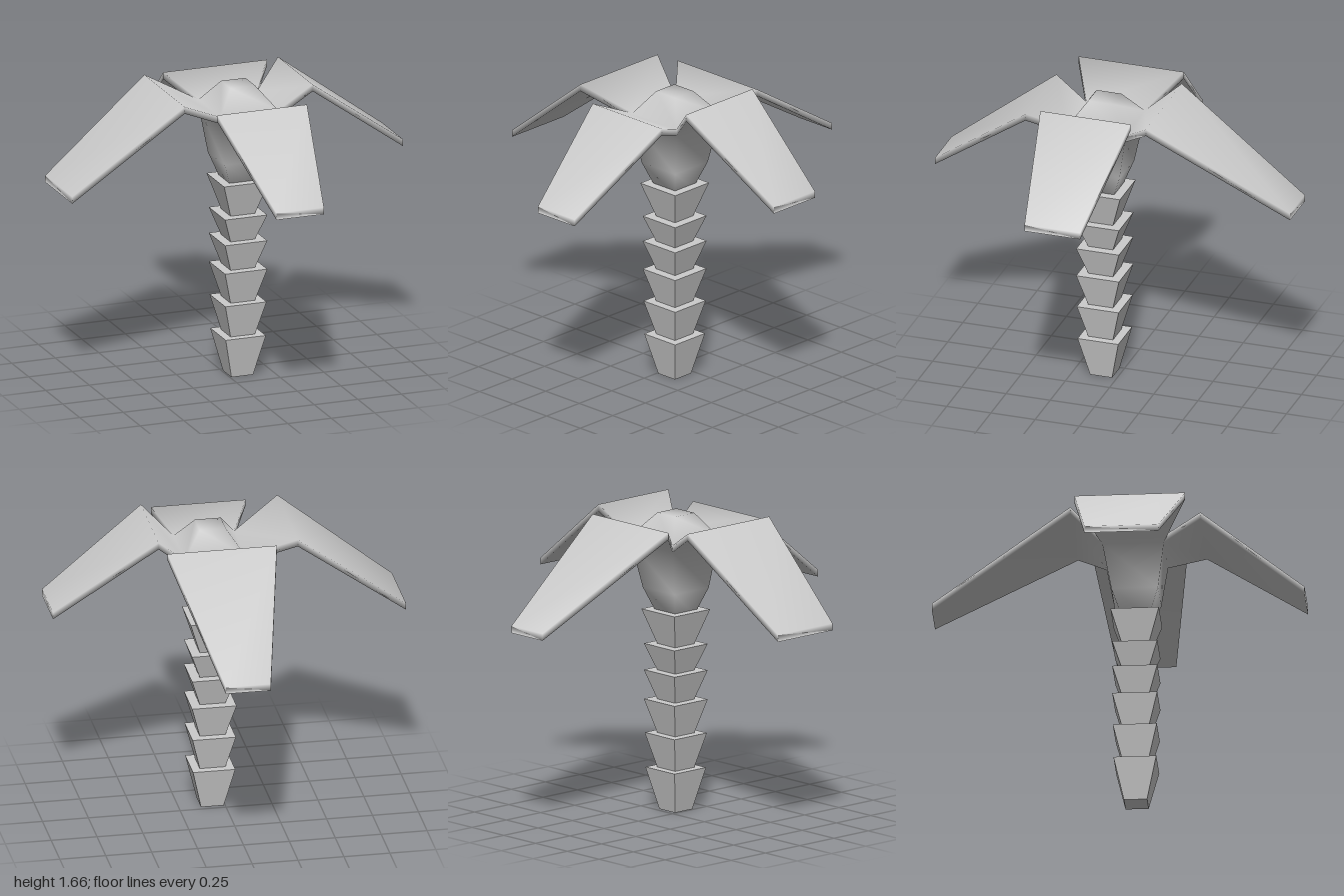
import * as THREE from 'three';

const material = () => new THREE.MeshStandardMaterial({ color: 0xcccccc });
const CX = 0.07, CZ = 0.088;

// Collects corners and quads (counter-clockwise from outside) into one welded, smooth surface.
function surface() {
  const pos = [], index = [];
  return {
    point: (x, y, z) => pos.push(x, y, z) / 3 - 1,
    quad: (a, b, c, d) => index.push(a, b, d, b, c, d),
    build() {
      const g = new THREE.BufferGeometry();
      g.setAttribute('position', new THREE.Float32BufferAttribute(pos, 3));
      g.setIndex(index);
      g.computeVertexNormals();
      return g;
    },
  };
}

function crownGeometry() {
  const s = surface();
  const T = 0.038; // frond thickness
  const pair = (x, y, z) => ({ top: s.point(x, y, z), low: s.point(x, y - T, z) });
  const signs = [[1, 1], [1, -1], [-1, -1], [-1, 1]];
  const ring = (h, y) => signs.map(([i, k]) => s.point(CX + i * h, y, CZ + k * h));

  // central cap, rim and flared neck
  const rim = signs.map(([i, k]) => pair(0.075 + i * 0.165, 1.505, 0.082 + k * 0.165));
  const cap = ring(0.07, 1.63);
  const flare = ring(0.125, 1.22);
  const neck = ring(0.07, 1.07);
  s.quad(...cap);
  s.quad(neck[3], neck[2], neck[1], neck[0]);

  // fronds: both corners of the bend, then both corners of the tip
  const fronds = [
    [[0.4, 1.66, 0.34], [0.4, 1.66, -0.17], [0.957, 1.255, 0.24], [0.957, 1.255, -0.075]], // left
    [[0.365, 1.625, -0.245], [-0.23, 1.625, -0.245], [0.19, 1.162, -1], [-0.055, 1.162, -1]], // back
    [[-0.35, 1.635, -0.215], [-0.35, 1.635, 0.38], [-0.957, 1.17, -0.118], [-0.957, 1.17, 0.28]], // right
    [[-0.19, 1.59, 0.45], [0.325, 1.59, 0.45], [-0.065, 1.192, 1], [0.208, 1.192, 1]], // front
  ];
  fronds.forEach((corners, k) => {
    const n = (k + 1) % 4;
    const [bendA, bendB, tipA, tipB] = corners.map((c) => pair(...c));
    const rows = [[rim[k], rim[n]], [bendA, bendB], [tipA, tipB]];
    for (let i = 0; i < 2; i++) {
      const [a, b] = rows[i], [c, d] = rows[i + 1];
      s.quad(a.top, c.top, d.top, b.top);
      s.quad(b.low, d.low, c.low, a.low);
      s.quad(a.low, c.low, c.top, a.top);
      s.quad(b.top, d.top, d.low, b.low);
    }
    s.quad(tipA.low, tipB.low, tipB.top, tipA.top);

    // cap slope above, flare and neck below
    s.quad(rim[k].top, rim[n].top, cap[n], cap[k]);
    s.quad(flare[k], flare[n], rim[n].low, rim[k].low);
    s.quad(neck[k], neck[n], flare[n], flare[k]);
  });
  return s.build();
}

export function createModel() {
  const model = new THREE.Group();
  model.name = 'palmTree';

  // trunk: stacked four-sided segments, each wider at the top
  const trunk = new THREE.Group();
  trunk.name = 'trunk';
  const trunkMaterial = material();
  trunkMaterial.flatShading = true;
  const levels = [0, 0.23, 0.42, 0.605, 0.765, 0.91, 1.1];
  const topHalf = [0.115, 0.118, 0.121, 0.121, 0.121, 0.13];
  topHalf.forEach((half, i) => {
    const h = levels[i + 1] - levels[i];
    const g = new THREE.CylinderGeometry(half * Math.SQRT2, (i ? 0.07 : 0.062) * Math.SQRT2, h, 4);
    g.rotateY(Math.PI / 4);
    const segment = new THREE.Mesh(g, trunkMaterial);
    segment.name = `trunkSegment${i + 1}`;
    segment.position.set(CX, levels[i] + h / 2, CZ);
    trunk.add(segment);
  });
  model.add(trunk);

  // crown: cap, neck and four drooping fronds
  const crown = new THREE.Mesh(crownGeometry(), material());
  crown.name = 'crown';
  model.add(crown);
  return model;
}
